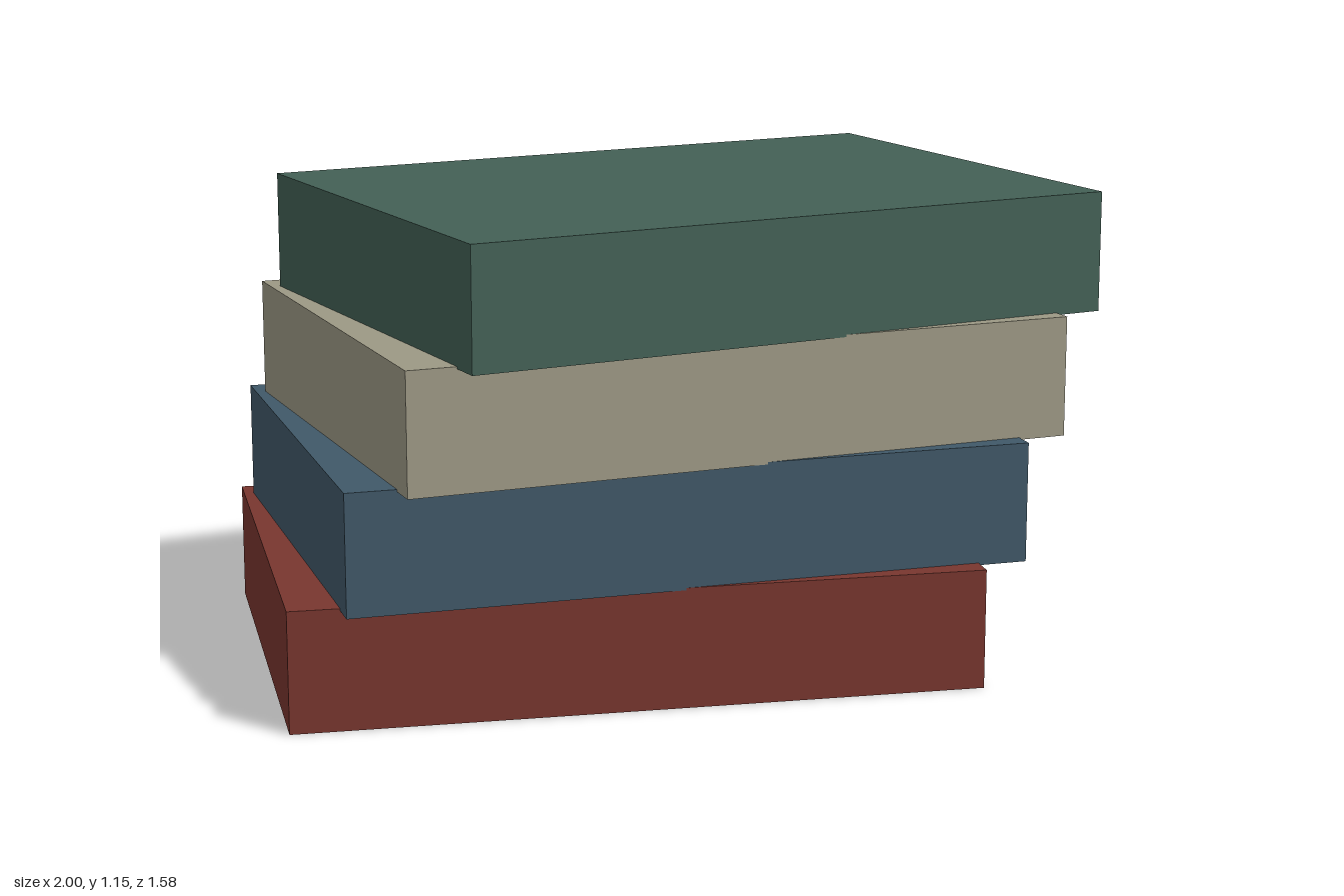
import * as THREE from 'three';

const WIDTH = 1.652, HEIGHT = 0.291, DEPTH = 1.191;
const PITCH = 0.2855; // slightly less than the height, so the slabs sink into each other
const SHIFT = 0.073; // sideways step per slab
const TWIST = THREE.MathUtils.degToRad(5); // turn per slab

// Slabs from bottom to top
const SLABS = [
  ['red', 0x78362f],
  ['blue', 0x405868],
  ['sand', 0x9c9884],
  ['green', 0x436055],
];

export function createModel() {
  const group = new THREE.Group();
  group.name = 'twistedStack';
  const slab = new THREE.BoxGeometry(WIDTH, HEIGHT, DEPTH);

  SLABS.forEach(([name, color], i) => {
    const material = new THREE.MeshStandardMaterial({ color });
    material.name = name;
    const mesh = new THREE.Mesh(slab, material);
    mesh.name = `${name}Slab`;
    mesh.position.set(-0.174 + i * SHIFT, HEIGHT / 2 + i * PITCH, 0);
    mesh.rotation.y = i * TWIST;
    group.add(mesh);
  });
  return group;
}
